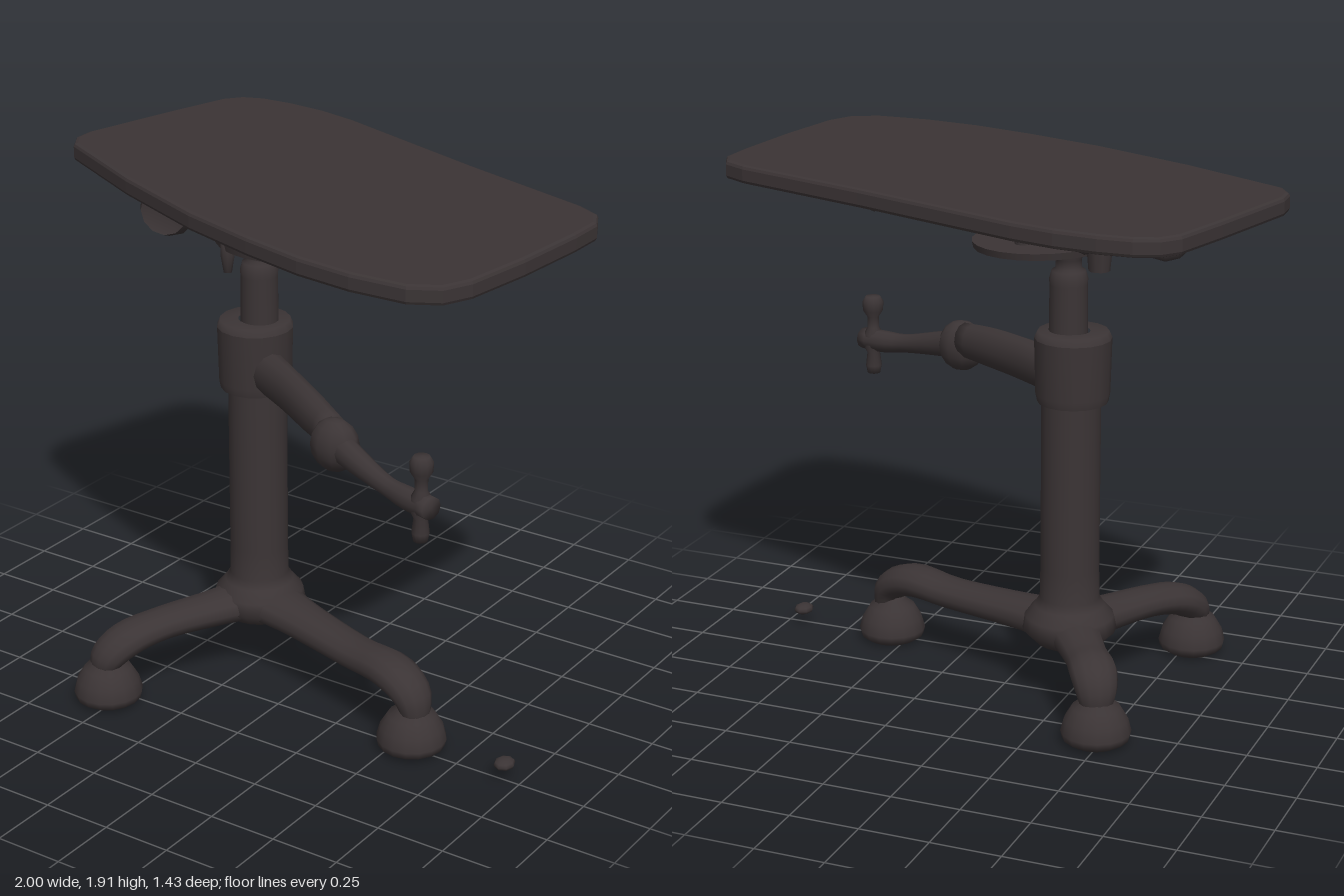
import * as THREE from 'three';

const iron = new THREE.MeshStandardMaterial({ color: 0x3b3435 });
iron.name = 'darkIron';
const V = (x, y, z) => new THREE.Vector3(x, y, z);

// Loft with an oval section along a smooth path; rows are [x, y, z, halfWidth, halfHeight]
function loft(rows, steps = 14, sides = 12) {
  const path = new THREE.CatmullRomCurve3(rows.map(r => V(r[0], r[1], r[2])));
  const size = new THREE.CatmullRomCurve3(rows.map(r => V(r[3], r[4], 0)));
  const run = path.getPoint(1).sub(path.getPoint(0)).setY(0);
  const side = run.normalize().cross(V(0, 1, 0)).normalize();
  const pos = [], idx = [];
  for (let i = 0; i <= steps; i++) {
    const p = path.getPoint(i / steps), s = size.getPoint(i / steps);
    const up = side.clone().cross(path.getTangent(i / steps)).normalize();
    for (let j = 0; j < sides; j++) {
      const a = j / sides * Math.PI * 2;
      const q = p.clone().addScaledVector(side, Math.cos(a) * s.x).addScaledVector(up, Math.sin(a) * s.y);
      pos.push(q.x, q.y, q.z);
      const k = (j + 1) % sides, A = i * sides + j, B = i * sides + k;
      if (i < steps) idx.push(A, A + sides, B, B, A + sides, B + sides);
    }
  }
  const c0 = pos.length / 3, last = steps * sides;
  pos.push(...path.getPoint(0).toArray(), ...path.getPoint(1).toArray());
  for (let j = 0; j < sides; j++) {
    const k = (j + 1) % sides;
    idx.push(c0, j, k, c0 + 1, last + k, last + j);
  }
  const g = new THREE.BufferGeometry();
  g.setAttribute('position', new THREE.Float32BufferAttribute(pos, 3));
  g.setIndex(idx);
  g.computeVertexNormals();
  return g;
}

const lathe = (pts, n = 20) => new THREE.LatheGeometry(pts.map(p => new THREE.Vector2(p[0], p[1])), n);

export function createModel() {
  const model = new THREE.Group();
  model.name = 'crankTable';
  const add = (name, geo, x = 0, y = 0, z = 0) => {
    const m = new THREE.Mesh(geo, iron);
    m.name = name;
    m.position.set(x, y, z);
    model.add(m);
    return m;
  };
  const cx = -0.245, cz = 0.013;

  // Tabletop: skewed outline with rounded corners
  const outline = [
    [-1, -0.02], [-0.995, 0.06], [-0.95, 0.13], [-0.555, 0.34], [-0.16, 0.515], [0.14, 0.615],
    [0.38, 0.68], [0.595, 0.71], [0.8, 0.705], [0.9, 0.65], [0.945, 0.55], [0.98, 0.29], [1, 0],
    [1, -0.14], [0.96, -0.22], [0.87, -0.27], [0.35, -0.44], [-0.29, -0.67], [-0.45, -0.71],
    [-0.6, -0.725], [-0.72, -0.72], [-0.8, -0.69], [-0.85, -0.625], [-0.91, -0.4]];
  const shape = new THREE.Shape(outline.map(p => new THREE.Vector2(p[0], -p[1])));
  const top = new THREE.ExtrudeGeometry(shape, {
    depth: 0.04, bevelEnabled: true, bevelThickness: 0.013, bevelSize: 0.015, bevelOffset: -0.015, bevelSegments: 2 });
  top.rotateX(-Math.PI / 2);
  add('tabletop', top, 0, 1.868, 0);

  // Column, collar and telescoping tube
  add('column', lathe([[0, 0.22], [0.12, 0.22], [0.17, 0.27], [0.16, 0.32], [0.125, 0.36], [0.107, 0.39],
    [0.105, 0.5], [0.105, 1.15]]), cx, 0, cz);
  add('collar', lathe([[0.09, 1.12], [0.125, 1.12], [0.125, 1.12], [0.131, 1.15], [0.136, 1.35], [0.136, 1.35],
    [0.125, 1.375], [0.06, 1.375]], 16), -0.248, 0, 0.02);
  add('innerTube', lathe([[0.068, 1.35], [0.066, 1.54], [0.068, 1.56], [0.06, 1.59], [0.045, 1.6], [0.045, 1.63],
    [0.06, 1.66], [0.06, 1.7], [0, 1.7]], 16), -0.23, 0, 0.018);

  // Three splayed legs with dome feet
  for (const [x, z, h] of [[0.56, 0.24, 0.27], [-0.53, 0.56, 0.235], [-0.48, -0.34, 0.255]]) {
    const at = (t, y, w, r) => [cx + (x - cx) * t, y, cz + (z - cz) * t, w, r];
    add('leg', loft([at(0, 0.285, 0.13, 0.07), at(0.3, 0.275, 0.09, 0.06), at(0.65, 0.265, 0.08, 0.055),
      at(0.88, h, 0.085, 0.06), at(1, h - 0.05, 0.075, 0.058), at(1.03, 0.13, 0.05, 0.04)], 18));
    add('foot', lathe([[0, 0.012], [0.09, 0.012], [0.118, 0.03], [0.124, 0.055], [0.112, 0.1], [0.085, 0.145],
      [0.05, 0.172], [0.04, 0.2], [0, 0.2]], 16), x, 0, z);
  }

  // Crank: flat arm, joint, thin arm and upright grip
  add('crankArm', loft([[-0.2, 1.205, 0.04, 0.07, 0.08], [0, 1.205, 0.165, 0.055, 0.078],
    [0.15, 1.2, 0.26, 0.055, 0.075], [0.3, 1.19, 0.35, 0.05, 0.065]], 10));
  const joint = add('crankJoint', new THREE.SphereGeometry(1, 10, 8), 0.325, 1.16, 0.375);
  joint.scale.set(0.09, 0.095, 0.07);
  add('crankRod', loft([[0.33, 1.165, 0.37, 0.05, 0.055], [0.45, 1.14, 0.42, 0.042, 0.045],
    [0.6, 1.11, 0.47, 0.032, 0.035], [0.7, 1.1, 0.495, 0.04, 0.042], [0.79, 1.1, 0.515, 0.04, 0.04]], 12, 10));
  add('crankGrip', lathe([[0, 0.97], [0.024, 0.97], [0.03, 1.0], [0.024, 1.05], [0.036, 1.075], [0.036, 1.125],
    [0.022, 1.15], [0.022, 1.19], [0.038, 1.215], [0.04, 1.25], [0.028, 1.27], [0, 1.272]], 12), 0.745, 0, 0.505);

  // Swivel plate with its pin and posts
  const plate = add('swivelPlate', new THREE.CylinderGeometry(0.245, 0.24, 0.024, 24), -0.145, 1.692, -0.01);
  plate.rotation.z = -0.03;
  add('platePin', lathe([[0, 1.6], [0.015, 1.6], [0.025, 1.66], [0.025, 1.72], [0, 1.72]], 10), -0.24, 0, 0.19);
  add('platePost', new THREE.CylinderGeometry(0.032, 0.032, 0.18, 10), -0.115, 1.78, -0.11);
  add('platePost', new THREE.CylinderGeometry(0.035, 0.035, 0.16, 10), -0.13, 1.78, 0.1);

  // Rails, cross beams and clamps below the top
  for (const off of [-0.09, 0.09]) {
    const rail = add('rail', new THREE.BoxGeometry(0.98, 0.055, 0.05), 0.0 - off * 0.25, 1.813, 0.02 + off);
    rail.rotation.y = -0.24;
  }
  add('crossBeam', loft([[0.4, 1.79, 0.445, 0.055, 0.04], [0.42, 1.79, 0.15, 0.05, 0.035],
    [0.44, 1.8, -0.12, 0.045, 0.035]], 6, 8));
  add('beamClamp', new THREE.CylinderGeometry(0.05, 0.04, 0.12, 8), 0.52, 1.79, 0.08);
  add('beamClamp', new THREE.CylinderGeometry(0.045, 0.035, 0.1, 8), 0.36, 1.8, 0.06);
  add('rearBeam', loft([[-0.48, 1.79, 0.14, 0.06, 0.05], [-0.46, 1.8, -0.12, 0.05, 0.04],
    [-0.45, 1.81, -0.42, 0.05, 0.04]], 8, 8));
  add('rearKnob', new THREE.CylinderGeometry(0.05, 0.036, 0.15, 10), -0.46, 1.765, -0.305);

  // Round tilt knob facing forward
  const knob = add('tiltKnob', lathe([[0, -0.1], [0.07, -0.1], [0.098, -0.06], [0.104, 0.03], [0.085, 0.08],
    [0.085, 0.08], [0.05, 0.065], [0, 0.065]], 12), -0.56, 1.75, 0.08);
  knob.rotation.set(Math.PI / 2, 0, -0.3);
  add('knobBracket', new THREE.BoxGeometry(0.14, 0.12, 0.1), -0.48, 1.775, 0.02);

  // Loose pebble on the ground
  const pebble = add('pebble', new THREE.SphereGeometry(1, 8, 6), 0.935, 0.07, 0.24);
  pebble.scale.set(0.036, 0.02, 0.043);
  return model;
}
